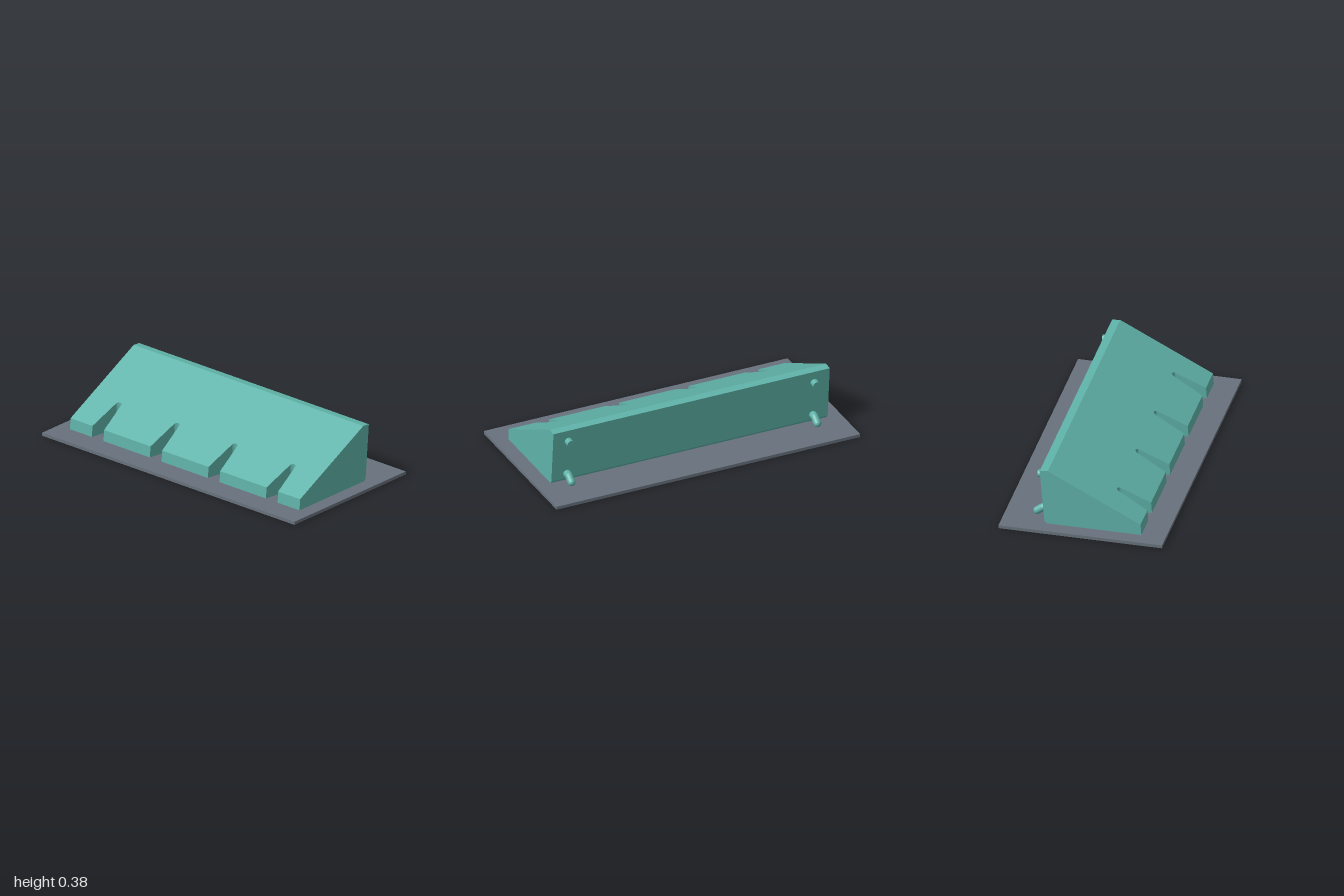
import * as THREE from 'three';
import { toCreasedNormals } from 'three/addons/utils/BufferGeometryUtils.js';

const teal = new THREE.MeshStandardMaterial({ color: 0x5fb3a9 });
const slate = new THREE.MeshStandardMaterial({ color: 0x68727c });

const BASE = 0.02, HALF = 0.91;            // plate thickness, half length of the ramp
const FRONT = 0.347, RIDGE = -0.22;        // ends of the sloping face in z
const slopeY = z => 0.09 + (FRONT - z) / (FRONT - RIDGE) * 0.29;

function add(parent, name, geometry, material) {
  const mesh = new THREE.Mesh(geometry, material);
  mesh.name = name;
  parent.add(mesh);
  return mesh;
}

// Ramp with tapered, round-ended slots: plan outline raised to the slope
function rampGeometry() {
  const plan = new THREE.Shape();          // plan y is -z
  plan.moveTo(-HALF, -FRONT);
  for (const x of [-0.69, -0.23, 0.23, 0.69]) {
    plan.lineTo(x - 0.046, -FRONT);
    plan.lineTo(x - 0.021, -0.172);
    plan.absarc(x, -0.172, 0.021, Math.PI, 0, true);
    plan.lineTo(x + 0.046, -FRONT);
  }
  plan.lineTo(HALF, -FRONT);
  plan.lineTo(HALF, -RIDGE);
  plan.lineTo(-HALF, -RIDGE);
  const g = new THREE.ExtrudeGeometry(plan, { depth: 1, bevelEnabled: false, curveSegments: 12 });
  g.rotateX(-Math.PI / 2);
  const p = g.attributes.position;
  for (let i = 0; i < p.count; i++) {
    const z = p.getZ(i);
    if (p.getY(i) > 0.5) p.setY(i, slopeY(z));
    else {
      p.setY(i, BASE);
      if (z > FRONT - 0.001) p.setZ(i, 0.352);   // slight draft on the front
    }
  }
  return toCreasedNormals(g, 0.5);
}

// Back strip: side profile swept along x
function backGeometry() {
  const side = new THREE.Shape([          // x is -z
    [-RIDGE, BASE], [0.23, BASE], [0.241, 0.036], [0.27, 0.375], [-RIDGE, 0.38],
  ].map(([a, b]) => new THREE.Vector2(a, b)));
  const g = new THREE.ExtrudeGeometry(side, { depth: 2 * HALF, bevelEnabled: false });
  g.translate(0, 0, -HALF);
  g.rotateY(Math.PI / 2);
  return g;
}

// Round rod between two points
function rod(parent, name, a, b, r) {
  const from = new THREE.Vector3(...a), to = new THREE.Vector3(...b);
  const dir = to.clone().sub(from);
  const mesh = add(parent, name, new THREE.CylinderGeometry(r, r, dir.length(), 24), teal);
  mesh.position.copy(from).addScaledVector(dir, 0.5);
  mesh.quaternion.setFromUnitVectors(new THREE.Vector3(0, 1, 0), dir.normalize());
}

function ball(parent, name, at, r) {
  add(parent, name, new THREE.SphereGeometry(r, 24, 16), teal).position.set(...at);
}

export function createModel() {
  const model = new THREE.Group();
  model.name = 'slottedRampOnPlate';

  add(model, 'basePlate', new THREE.BoxGeometry(2, BASE, 1), slate).position.y = BASE / 2;
  add(model, 'slottedRamp', rampGeometry(), teal);
  add(model, 'rampBack', backGeometry(), teal);

  // A straight peg above a bent hook near each end of the back
  for (const x of [-0.81, 0.81]) {
    const mount = new THREE.Group();
    mount.name = x > 0 ? 'leftMount' : 'rightMount';
    mount.position.x = x;
    const r = 0.0235;
    rod(mount, 'peg', [0, 0.302, -0.25], [0, 0.298, -0.302], r);
    rod(mount, 'hookRoot', [0, 0.072, -0.23], [0, 0.069, -0.274], r);
    ball(mount, 'hookElbow', [0, 0.069, -0.274], r);
    rod(mount, 'hookArm', [0, 0.069, -0.274], [0, 0.043, -0.309], r);
    ball(mount, 'hookTip', [0, 0.043, -0.309], r);
    model.add(mount);
  }
  return model;
}
